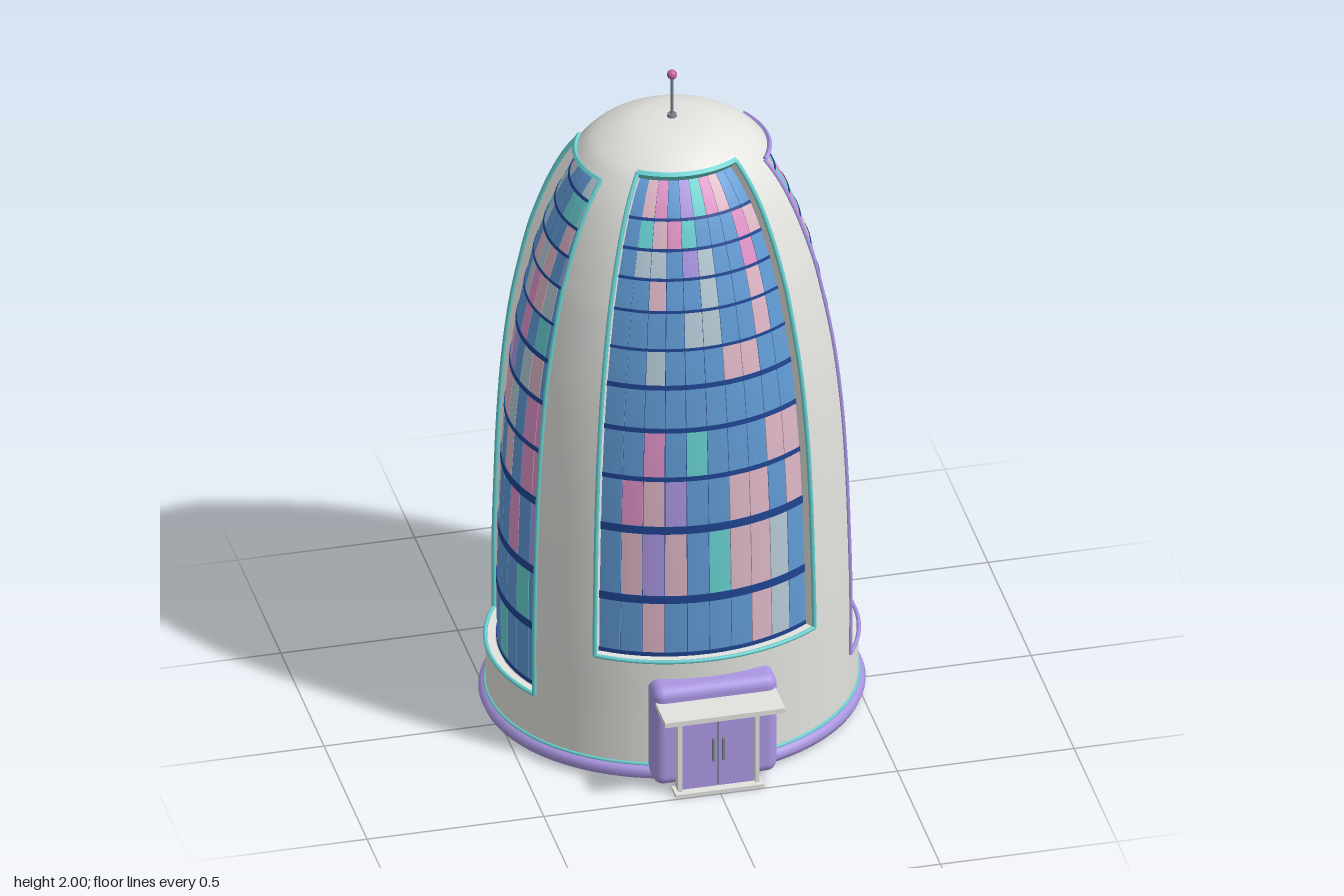
import * as THREE from 'three';
import { mergeGeometries } from 'three/addons/utils/BufferGeometryUtils.js';
import { RoundedBoxGeometry } from 'three/addons/geometries/RoundedBoxGeometry.js';

const RX = 0.515, RZ = 0.471, CZ = -0.064, RAD = Math.PI / 180;

// Tower profile: plan scale against height
const profile = new THREE.SplineCurve([
  [1, 0.02], [1, 0.2], [1, 0.4], [0.99, 0.6], [0.975, 0.8], [0.948, 1.0], [0.9, 1.2], [0.82, 1.4],
  [0.763, 1.5], [0.69, 1.6], [0.605, 1.688], [0.51, 1.755], [0.42, 1.798], [0.27, 1.835], [0.13, 1.849], [0, 1.852],
].map(([s, y]) => new THREE.Vector2(s, y)));

function uOf(y) {
  let lo = 0, hi = 1;
  for (let i = 0; i < 30; i++) {
    const mid = (lo + hi) / 2;
    if (profile.getPoint(mid).y < y) lo = mid; else hi = mid;
  }
  return lo;
}

function normalAt(a, u) {
  const t = profile.getTangent(u);
  return new THREE.Vector3(Math.cos(a) / RX * t.y, -t.x, Math.sin(a) / RZ * t.y).normalize();
}

// Point on the tower at angle a and profile position u, moved d along the normal
function pointAt(a, u, d) {
  const p = profile.getPoint(u);
  return new THREE.Vector3(RX * p.x * Math.cos(a), p.y, CZ + RZ * p.x * Math.sin(a))
    .addScaledVector(normalAt(a, u), d);
}

function grid(f, m, n, normalFn) {
  const pos = [], nor = [], idx = [];
  for (let j = 0; j <= n; j++) for (let i = 0; i <= m; i++) {
    pos.push(...f(i / m, j / n).toArray());
    if (normalFn) nor.push(...normalFn(i / m, j / n).toArray());
    if (i < m && j < n) {
      const k = j * (m + 1) + i;
      idx.push(k, k + 1, k + m + 2, k, k + m + 2, k + m + 1);
    }
  }
  const g = new THREE.BufferGeometry();
  g.setAttribute('position', new THREE.Float32BufferAttribute(pos, 3));
  g.setIndex(idx);
  if (normalFn) g.setAttribute('normal', new THREE.Float32BufferAttribute(nor, 3));
  else g.computeVertexNormals();
  return g;
}

// Curved slab following the tower between two angles and two profile positions
function slab(a0, a1, u0, u1, dOut, dIn, na, nu) {
  const L = THREE.MathUtils.lerp;
  const A = s => L(a1, a0, s), U = t => L(u0, u1, t), D = t => L(dIn, dOut, t);
  return mergeGeometries([
    grid((s, t) => pointAt(A(s), U(t), dOut), na, nu, (s, t) => normalAt(A(s), U(t))),
    grid((s, t) => pointAt(A(1 - s), U(t), dIn), na, nu, (s, t) => normalAt(A(1 - s), U(t)).negate()),
    grid((s, t) => pointAt(A(t), u1, D(s)), 1, na),
    grid((s, t) => pointAt(A(s), u0, D(t)), na, 1),
    grid((s, t) => pointAt(a0, U(s), D(t)), nu, 1),
    grid((s, t) => pointAt(a1, U(t), D(s)), 1, nu),
  ]);
}

function edgeTube(f, n, r, closed = false) {
  const pts = [];
  for (let i = 0; i < n + (closed ? 0 : 1); i++) pts.push(f(i / n));
  return new THREE.TubeGeometry(new THREE.CatmullRomCurve3(pts, closed), n * 2, r, 8, closed);
}

export function createModel() {
  const root = new THREE.Group();
  const M = {};
  for (const [name, color] of Object.entries({
    white: 0xe2e2de, purple: 0xaa96e2, teal: 0x68d0d0, magenta: 0xc4609a, blue: 0x609ad4,
    darkBlue: 0x1f4490, pink: 0xde92c6, rose: 0xdeb6c6, pale: 0xb6cad6, grey: 0x7c828c,
  })) {
    M[name] = new THREE.MeshStandardMaterial({ color });
    M[name].name = name;
  }
  const add = (name, geo, mat, x = 0, y = 0, z = 0, parent = root) => {
    const m = new THREE.Mesh(geo, mat);
    m.name = name;
    m.position.set(x, y, z);
    parent.add(m);
  };
  const box = (w, h, d) => new THREE.BoxGeometry(w, h, d);
  let seed = 11;
  const rnd = () => (seed = (seed * 16807) % 2147483647) / 2147483647;

  // Shell: base ring, cap, piers and the infill around each window opening
  const wall = (d0, d1, y0, y1, na, nu, dIn = -0.046) =>
    slab(d0 * RAD, d1 * RAD, uOf(y0), y1 > 1.84 ? 1 : uOf(y1), 0, dIn, na, nu);
  add('shell', mergeGeometries([
    wall(0, 360, 0.02, 0.19, 96, 2, -0.026), wall(0, 360, 1.8, 1.852, 96, 14),
    ...[[30, 53], [127, 150], [210, 240], [300, 330]].map(([p, q]) => wall(p, q, 0.19, 1.8, 8, 48)),
    wall(53, 127, 0.19, 0.38, 20, 4), wall(53, 127, 1.79, 1.8, 20, 2),
    wall(-30, 30, 1.752, 1.8, 16, 4), wall(150, 210, 1.752, 1.8, 16, 4), wall(240, 300, 1.69, 1.8, 16, 8),
  ]), M.white);

  // Base rings
  const circle = (y, d) => t => pointAt(t * 2 * Math.PI, uOf(y), d);
  add('baseRing', edgeTube(circle(0.028, -0.003), 64, 0.023, true), M.purple);
  add('baseTrim', edgeTube(circle(0.05, 0.001), 64, 0.005, true), M.teal);

  // Windows: pane rows run bottom to top, one letter per pane
  const code = { b: M.blue, k: M.pink, r: M.rose, c: M.teal, l: M.pale, p: M.purple };
  const frontPanes = ['bbrbbbbrlb', 'brprbcrrlb', 'bkrpbbrrbr', 'bbkbcbbbrr', 'bbbbbbbbbb', 'bblbbbrrbb',
    'bbbbllbbrb', 'bbrbblbbrb', 'bllbplbbkb', 'bcrkcbbbkr', 'brkbpckrbb'];
  const sidePanes = ['cclcbbkk', 'bbbbbbrp', 'kbpcbkkb', 'kkbpbbkc', 'bbbbbbkb', 'bbbbbbbb',
    'bbrrbbrb', 'rcrckrbl', 'kcrrrckb', 'rrkcbkrr', 'rlckrcbr', 'bkrckrbb'];
  const levels = [0.19, 0.38, 0.56, 0.78, 0.94, 1.09, 1.22, 1.33, 1.44, 1.53, 1.61, 1.69];

  function buildWindow(name, centre, half, y0, y1, cols, frame, panes) {
    const g = new THREE.Group();
    g.name = name;
    root.add(g);
    const a0 = (centre - half) * RAD, a1 = (centre + half) * RAD, u0 = uOf(y0), u1 = uOf(y1);
    const ys = levels.filter(y => y >= y0 && y < y1).concat(y1);
    add('glazingBacking', slab(a0, a1, u0, u1, -0.037, -0.045, 20, 40), M.darkBlue, 0, 0, 0, g);

    // Horizontal bands, thinner towards the top
    add('bands', mergeGeometries(ys.map(y => {
      const h = y < 0.8 ? 0.012 : y < 1.25 ? 0.007 : 0.004;
      return slab(a0, a1, uOf(Math.max(y - h, y0)), uOf(Math.min(y + h, y1)), -0.029, -0.038, 16, 1);
    })), M.darkBlue, 0, 0, 0, g);

    // Coloured panes
    const sets = new Map();
    for (let r = 0; r < ys.length - 1; r++) for (let c = 0; c < cols; c++) {
      const blueShare = ys[r] < 0.5 ? 0.8 : 0.52;
      const letter = panes ? panes[r][c] : (rnd() < blueShare ? 'b' : 'krclpkr'[Math.floor(rnd() * 7)]);
      const step = (a1 - a0) / cols, hi = a1 - c * step, gap = 0.0024;
      const geo = slab(hi - step + gap, hi - gap, uOf(ys[r]), uOf(ys[r + 1]), -0.031, -0.038, 2, 2);
      const mat = code[letter];
      if (!sets.has(mat)) sets.set(mat, []);
      sets.get(mat).push(geo);
    }
    for (const [mat, list] of sets) add(mat.name + 'Panes', mergeGeometries(list), mat, 0, 0, 0, g);

    // Frame edging with a projecting lintel
    const lerp = THREE.MathUtils.lerp;
    add('frame', mergeGeometries([
      edgeTube(t => pointAt(a0, lerp(u0, u1, t), 0.001), 40, 0.0065),
      edgeTube(t => pointAt(a1, lerp(u0, u1, t), 0.001), 40, 0.0065),
      edgeTube(t => pointAt(lerp(a0, a1, t), u0, 0.001), 20, 0.006),
      slab(a0, a1, uOf(y1 - 0.005), uOf(y1 + 0.003), 0.009, -0.028, 16, 1),
    ].map(geo => geo.deleteAttribute('uv'))), frame, 0, 0, 0, g);
  }
  buildWindow('frontWindow', 90, 37, 0.38, 1.79, 10, M.teal, frontPanes);
  buildWindow('leftWindow', 0, 30, 0.19, 1.752, 8, M.purple, sidePanes);
  buildWindow('rightWindow', 180, 30, 0.19, 1.752, 8, M.teal);
  buildWindow('backWindow', 270, 30, 0.19, 1.69, 8, M.magenta);

  // Entrance
  const door = new THREE.Group();
  door.name = 'entrance';
  root.add(door);
  add('porch', new RoundedBoxGeometry(0.35, 0.31, 0.15, 4, 0.03), M.purple, 0, 0.17, 0.38, door);
  add('canopy', box(0.34, 0.015, 0.115), M.white, 0, 0.277, 0.4975, door);
  add('doorHead', box(0.23, 0.012, 0.035), M.white, 0, 0.249, 0.4625, door);
  add('step', box(0.25, 0.01, 0.05), M.white, 0, 0.005, 0.47, door);
  for (const s of [-1, 1]) {
    add('doorJamb', box(0.012, 0.245, 0.035), M.white, s * 0.109, 0.1225, 0.4625, door);
    add('doorLeaf', box(0.1, 0.233, 0.02), M.purple, s * 0.0525, 0.1265, 0.46, door);
    add('doorHandle', box(0.006, 0.07, 0.012), M.grey, s * 0.014, 0.13, 0.476, door);
  }
  add('doorGap', box(0.005, 0.233, 0.016), M.grey, 0, 0.1265, 0.46, door);

  // Antenna
  add('antennaFoot', new THREE.CylinderGeometry(0.012, 0.014, 0.012, 16), M.grey, 0, 1.855, CZ);
  add('antennaPole', new THREE.CylinderGeometry(0.004, 0.005, 0.135, 12), M.grey, 0, 1.912, CZ);
  add('antennaBall', new THREE.SphereGeometry(0.014, 20, 14), M.magenta, 0, 1.986, CZ);
  return root;
}
